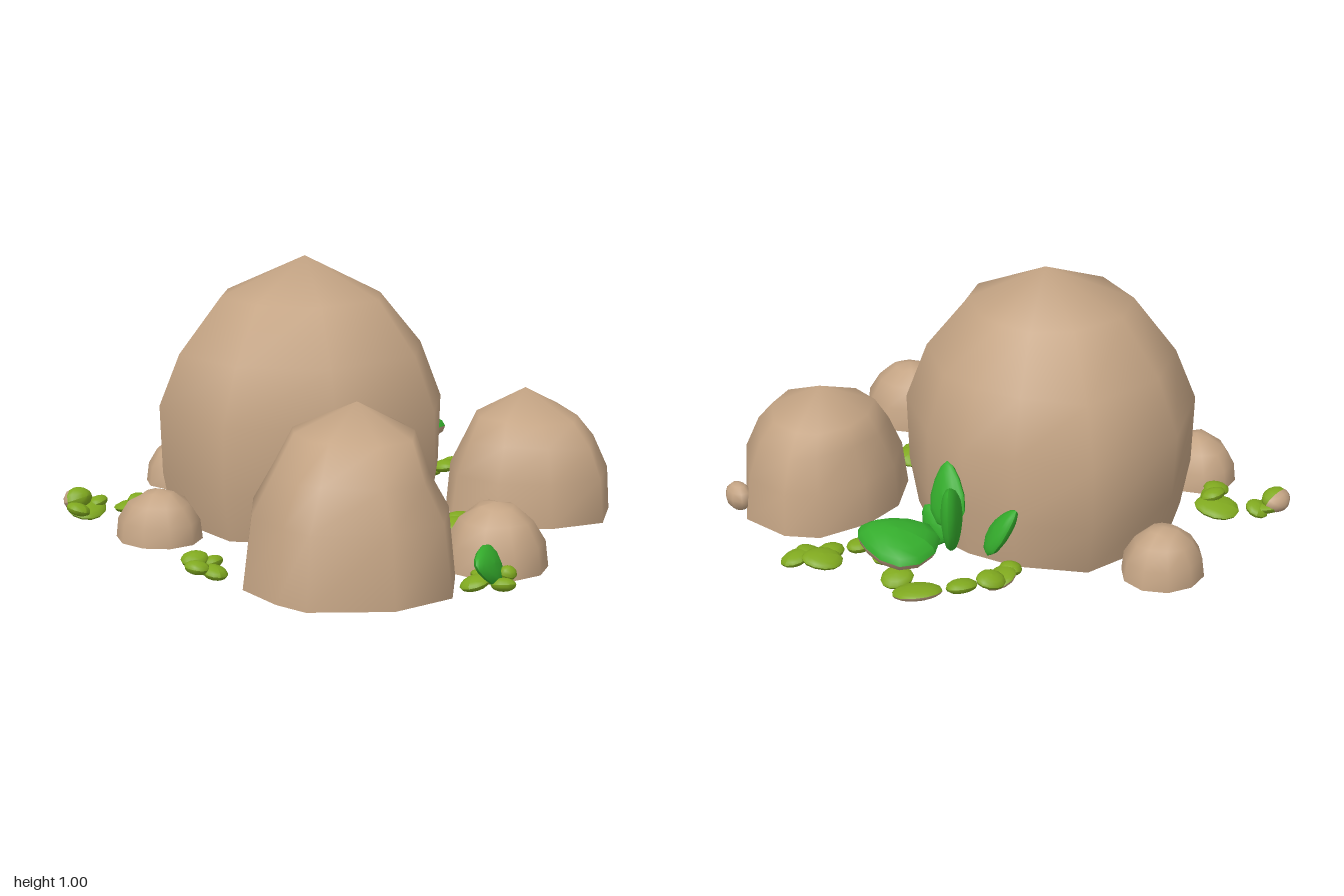
import * as THREE from 'three';

export function createModel() {
  const group = new THREE.Group();
  const mat = (name, color, side = THREE.FrontSide) => {
    const m = new THREE.MeshStandardMaterial({ color, side });
    m.name = name;
    return m;
  };
  const stone = mat('stone tan', 0xc4a484, THREE.DoubleSide);
  const green = mat('leaf green', 0x34ac2c, THREE.DoubleSide);
  const olive = mat('clover olive', 0x80a91f, THREE.DoubleSide);

  let seed = 7;
  const rand = () => (seed = (seed * 16807) % 2147483647) / 2147483647;

  // Boulder: a ground outline (clockwise from above) scaled through levels [y, scale, dx, dz] up to an apex
  function rock(name, outline, [cx, cz], levels, apex, closed = true, jitter = 0.02) {
    const n = outline.length, pos = [], idx = [];
    levels.forEach(([y, s, dx = 0, dz = 0], k) => outline.forEach(([x, z]) => {
      const t = s * (1 + (k > 0 ? (rand() - 0.5) * 2 * jitter : 0));
      pos.push(cx + dx + (x - cx) * t, y + (k > 1 ? (rand() - 0.5) * jitter : 0), cz + dz + (z - cz) * t);
    }));
    const top = levels.length * n;
    pos.push(...apex);
    for (let k = 0; k < levels.length; k++) for (let i = 0; i < n; i++) {
      const a = k * n + i, b = k * n + (i + 1) % n;
      if (k === levels.length - 1) idx.push(a, top, b);
      else idx.push(a, a + n, b, b, a + n, b + n);
    }
    if (closed) {
      // Separate vertices keep the base edge sharp
      const base = pos.length / 3;
      for (let i = 0; i < n; i++) pos.push(pos[i * 3], pos[i * 3 + 1], pos[i * 3 + 2]);
      pos.push(cx, levels[0][0], cz);
      for (let i = 0; i < n; i++) idx.push(base + n, base + i, base + (i + 1) % n);
    }
    const g = new THREE.BufferGeometry();
    g.setAttribute('position', new THREE.Float32BufferAttribute(pos, 3));
    g.setIndex(idx);
    g.computeVertexNormals();
    const mesh = new THREE.Mesh(g, stone);
    mesh.name = name;
    group.add(mesh);
  }

  rock('mainBoulder',
    [[-0.2, -0.74], [0.2, -0.72], [0.38, -0.5], [0.45, -0.3], [0.46, -0.12], [0.32, 0.17],
      [0.1, 0.32], [-0.34, 0.19], [-0.57, -0.16], [-0.48, -0.55]], [-0.05, -0.21],
    [[0.015, 0.92], [0.2, 0.98], [0.45, 0.98], [0.66, 0.84], [0.86, 0.56]], [-0.02, 1.0, -0.22]);
  rock('leftBoulder',
    [[-0.72, 0.07], [-0.42, 0.11], [-0.27, 0.22], [-0.21, 0.5], [-0.35, 0.72], [-0.55, 0.85],
      [-0.78, 0.78], [-0.97, 0.55], [-0.97, 0.42], [-0.92, 0.23]], [-0.59, 0.46],
    [[0.015, 0.99], [0.27, 0.91], [0.4, 0.71], [0.54, 0.56, 0.01]], [-0.5, 0.62, 0.4]);
  rock('rightBoulder',
    [[0.37, 0.16], [0.55, 0.12], [0.75, 0.15], [0.84, 0.25], [0.87, 0.45], [0.7, 0.7],
      [0.51, 0.79], [0.32, 0.68], [0.21, 0.5], [0.21, 0.3]], [0.54, 0.45],
    [[0.015, 0.99], [0.18, 0.94], [0.3, 0.78], [0.38, 0.61, 0, -0.02]], [0.54, 0.48, 0.41]);

  // Small domed stones
  function pebble(name, x, z, rx, rz, h, closed) {
    const outline = Array.from({ length: 10 }, (_, i) => {
      const a = i / 10 * Math.PI * 2;
      return [x + Math.sin(a) * rx, z - Math.cos(a) * rz];
    });
    rock(name, outline, [x, z],
      [[0.018, 1], [h * 0.45, 0.94], [h * 0.76, 0.7], [h * 0.95, 0.34]], [x, h, z], closed, 0.012);
  }
  pebble('frontStone', -0.17, 0.76, 0.18, 0.19, 0.25, true);
  pebble('backStone', -0.02, -0.855, 0.155, 0.145, 0.2, false);
  pebble('backLeftStone', -0.65, -0.4, 0.15, 0.165, 0.2, false);

  const knob = new THREE.Mesh(new THREE.SphereGeometry(1, 9, 6), stone);
  knob.name = 'stoneKnob';
  knob.scale.set(0.045, 0.055, 0.062);
  knob.position.set(0.855, 0.085, 0.515);
  group.add(knob);

  // Plump leaf: two half shells, narrowing towards the tip along +x
  function halfShell(upper, taper) {
    const g = new THREE.SphereGeometry(1, 12, 4, 0, Math.PI * 2, upper ? 0 : Math.PI / 2, Math.PI / 2);
    const p = g.attributes.position;
    for (let i = 0; i < p.count; i++) p.setZ(i, p.getZ(i) * (1 - taper * p.getX(i)));
    g.computeVertexNormals();
    return g;
  }
  const shells = { leaf: [halfShell(true, 0.4), halfShell(false, 0.4)], clover: [halfShell(true, 0.12), halfShell(false, 0.12)] };

  function leaf(name, kind, center, axis, normal, [length, thick, width], front, back = front) {
    const x = new THREE.Vector3(...axis).normalize();
    const z = x.clone().cross(new THREE.Vector3(...normal)).normalize();
    const y = z.clone().cross(x);
    const part = new THREE.Group();
    part.name = name;
    part.add(new THREE.Mesh(shells[kind][0], front), new THREE.Mesh(shells[kind][1], back));
    part.children[0].name = name + 'Face';
    part.children[1].name = name + 'Back';
    part.quaternion.setFromRotationMatrix(new THREE.Matrix4().makeBasis(x, y, z));
    part.scale.set(length, thick, width);
    part.position.set(...center);
    group.add(part);
  }

  // Broad green leaves: centre, tip direction, face direction, half sizes, back colour
  [
    [[0.73, 0.175, -0.28], [0.45, 0.1, 0.9], [0.3, 0.8, 0.5], [0.15, 0.06, 0.13], stone],
    [[0.61, 0.3, -0.44], [0.35, 0.9, -0.3], [0.6, 0.2, 0.5], [0.14, 0.035, 0.095], green],
    [[0.52, 0.3, -0.31], [-0.25, 0.85, 0.3], [0.85, 0.3, -0.1], [0.12, 0.03, 0.075], green],
    [[0.48, 0.24, -0.55], [-0.2, 0.8, -0.5], [0.7, 0.4, 0.4], [0.11, 0.03, 0.06], green],
    [[0.51, 0.15, -0.23], [0, 0.4, 0.5], [0.9, 0.3, -0.1], [0.08, 0.025, 0.06], green],
    [[-0.21, 0.28, 0.34], [-0.35, 0.9, -0.1], [0.3, 0.2, 0.8], [0.12, 0.028, 0.06], green],
    [[-0.11, 0.2, 0.35], [0.6, 0.55, -0.1], [-0.3, 0.6, 0.7], [0.1, 0.025, 0.05], green],
    [[-0.2, 0.15, 0.42], [-0.1, 0.6, 0.5], [0.3, 0.5, 0.7], [0.08, 0.025, 0.05], green],
    [[-0.42, 0.11, 0.9], [-0.95, 0.25, 0.1], [0.1, 0.45, 0.85], [0.09, 0.028, 0.07], green],
  ].forEach(([c, a, n, s, back]) => leaf('broadLeaf', 'leaf', c, a, n, s, green, back));

  // Round olive leaves close to the ground: x, y, z, radius, optional back colour
  [
    [-0.62, 0.05, -0.8, 0.08], [-0.57, 0.06, -0.8, 0.05], [-0.68, 0.06, -0.79, 0.05],
    [-0.48, 0.05, -0.68, 0.085], [-0.5, 0.08, -0.64, 0.05], [-0.57, 0.06, -0.59, 0.055], [-0.53, 0.05, -0.61, 0.05],
    [-0.955, 0.07, 0.06, 0.045], [-0.91, 0.08, 0.01, 0.05], [-0.855, 0.06, 0.04, 0.042], [-0.91, 0.05, 0.1, 0.05],
    [-0.4, 0.045, 0.95, 0.045], [-0.36, 0.075, 0.94, 0.032], [-0.45, 0.05, 0.87, 0.06], [-0.38, 0.05, 0.86, 0.055],
    [0, 0.06, 0.33, 0.055], [0.06, 0.05, 0.42, 0.07], [0.12, 0.055, 0.39, 0.06], [-0.05, 0.05, 0.37, 0.05], [0.07, 0.07, 0.34, 0.05],
    [0.76, 0.05, -0.43, 0.09, stone], [0.57, 0.1, -0.6, 0.055], [0.5, 0.07, -0.57, 0.07, stone], [0.44, 0.08, -0.56, 0.045],
    [0.6, 0.06, -0.17, 0.065], [0.59, 0.1, -0.09, 0.045], [0.72, 0.06, -0.05, 0.055], [0.645, 0.07, -0.04, 0.055],
    [0.66, 0.035, -0.14, 0.06], [0.88, 0.06, -0.04, 0.075], [0.93, 0.045, 0.05, 0.06], [0.81, 0.05, 0, 0.055], [0.87, 0.045, 0.04, 0.06],
    [0.73, 0.03, -0.28, 0.06], [0.62, 0.05, -0.5, 0.06],
  ].forEach(([x, y, z, r, back = olive], i) => {
    const a = i * 2.4;
    leaf('cloverLeaf', 'clover', [x, y, z], [Math.cos(a), 0.12, Math.sin(a)],
      [Math.sin(a * 1.7) * 0.3, 1, Math.cos(a * 1.3) * 0.3], [r, 0.024, r * 0.88], olive, back);
  });

  // Upturned leaf at the back left with a pale back
  leaf('paleLeaf', 'clover', [-0.64, 0.085, -0.83], [1, 0, -0.1], [0.1, 0.35, 0.9], [0.06, 0.05, 0.045], olive, stone);

  return group;
}
